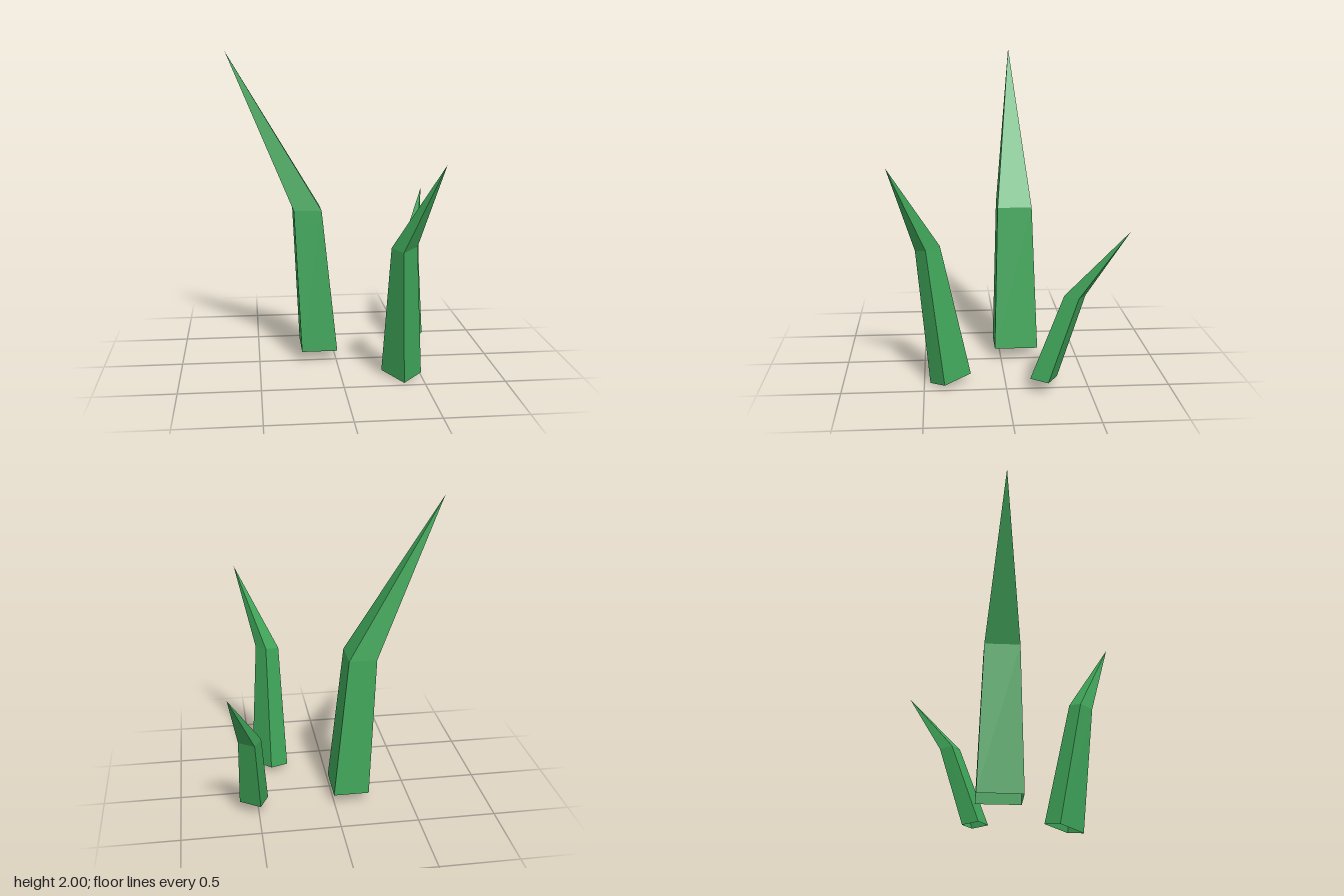
import * as THREE from 'three';

const leafGreen = new THREE.MeshStandardMaterial({ color: 0x3fa559, side: THREE.DoubleSide, flatShading: true });
leafGreen.name = 'leaf green';

// Four-sided blade, open at the bottom: base ring, bend ring and a pointed tip.
// Rings run counter-clockwise seen from above.
function blade(name, base, bend, tip) {
  const points = [];
  for (let i = 0; i < 4; i++) {
    const j = (i + 1) % 4;
    points.push(base[i], base[j], bend[j], base[i], bend[j], bend[i]); // stalk side
    points.push(bend[i], bend[j], tip); // spike side
  }
  const geometry = new THREE.BufferGeometry();
  geometry.setAttribute('position', new THREE.Float32BufferAttribute(points.flat(), 3));
  geometry.computeVertexNormals();
  const mesh = new THREE.Mesh(geometry, leafGreen);
  mesh.name = name;
  return mesh;
}

export function createModel() {
  const group = new THREE.Group();
  group.name = 'grassTuft';
  group.add(
    blade('tallBlade',
      [[-0.225, 0.07, 0.04], [0.005, 0.07, 0.04], [0.005, 0.07, -0.24], [-0.225, 0.07, -0.24]],
      [[-0.27, 1.0, 0.015], [-0.093, 1.0, 0.015], [-0.093, 1.0, -0.207], [-0.27, 1.0, -0.207]],
      [-0.687, 2.0, -0.097]),
    blade('frontBlade',
      [[0.257, 0.027, 0.3], [0.375, 0, 0.463], [0.495, 0.03, 0.375], [0.375, 0.055, 0.213]],
      [[0.287, 0.85, 0.457], [0.346, 0.838, 0.543], [0.44, 0.86, 0.478], [0.377, 0.873, 0.393]],
      [0.56, 1.377, 0.695]),
    blade('backBlade',
      [[0.435, 0.08, -0.205], [0.565, 0.09, -0.137], [0.62, 0.08, -0.24], [0.49, 0.07, -0.308]],
      [[0.48, 0.603, -0.388], [0.58, 0.61, -0.333], [0.622, 0.6, -0.413], [0.525, 0.594, -0.468]],
      [0.685, 1.017, -0.695])
  );
  return group;
}
